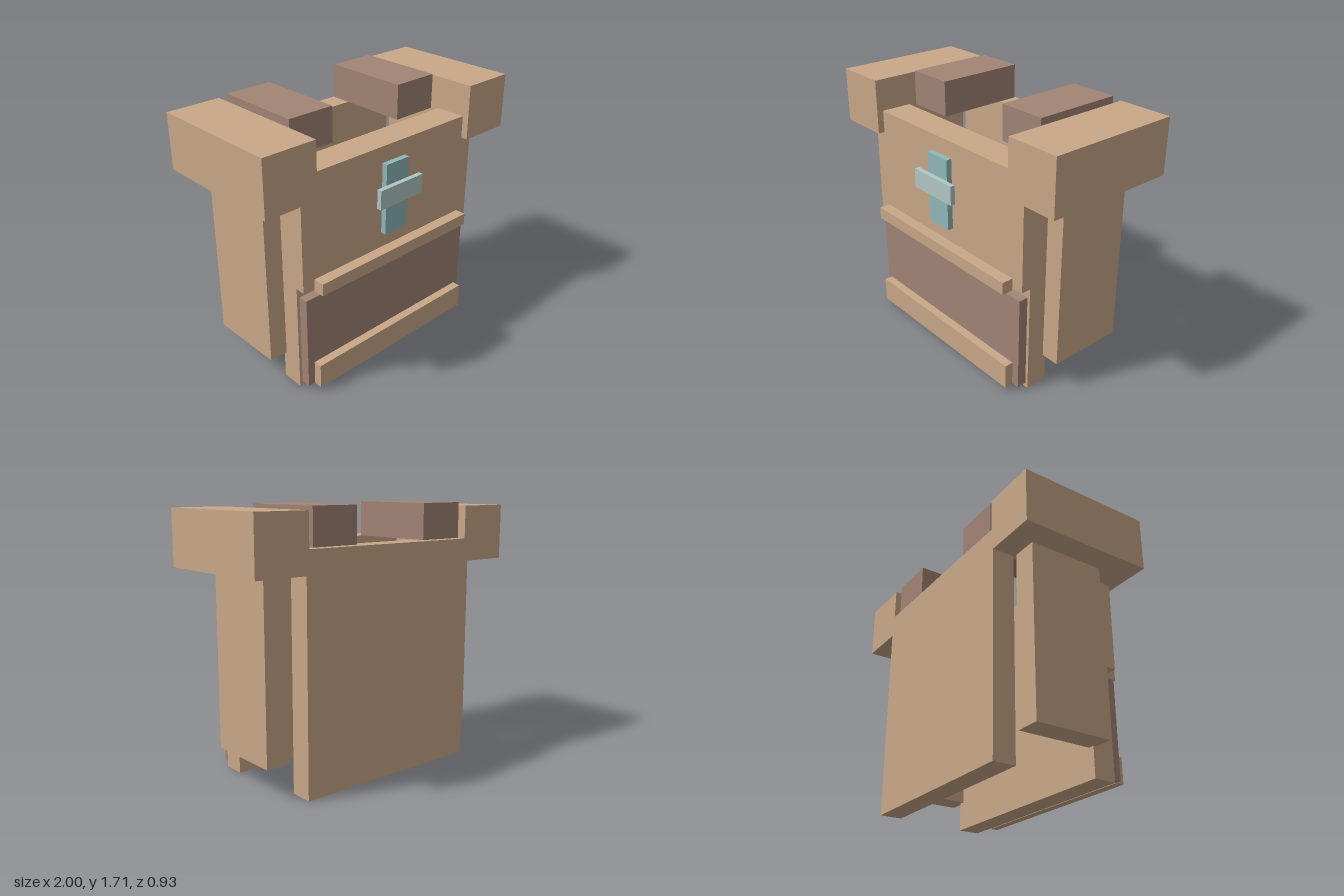
import * as THREE from 'three';

export function createModel() {
  const model = new THREE.Group();
  model.name = 'armorVest';

  const mat = (name, color) => {
    const m = new THREE.MeshStandardMaterial({ color });
    m.name = name;
    return m;
  };
  const tan = mat('tan', 0xc9a889);
  const brown = mat('brown', 0xa28475);
  const teal = mat('teal', 0x8fb8b8);
  const paleTeal = mat('paleTeal', 0xb1c8c4);

  // Box given by its lower and upper limits on each axis
  const box = (name, material, [x0, x1], [y0, y1], [z0, z1]) => {
    const mesh = new THREE.Mesh(new THREE.BoxGeometry(x1 - x0, y1 - y0, z1 - z0), material);
    mesh.position.set((x0 + x1) / 2, (y0 + y1) / 2, (z0 + z1) / 2);
    mesh.name = name;
    model.add(mesh);
  };
  // The same box on both sides
  const pair = (name, material, [x0, x1], y, z) => {
    box(name + 'Left', material, [x0, x1], y, z);
    box(name + 'Right', material, [-x1, -x0], y, z);
  };

  // Main panels
  box('frontPanel', tan, [-0.725, 0.725], [0, 1.47], [0.175, 0.32]);
  box('backPanel', tan, [-0.66, 0.66], [0, 1.47], [-0.467, -0.32]);
  pair('sidePanel', tan, [0.685, 0.847], [0.193, 1.32], [-0.317, 0.195]);

  // Shoulders and straps
  pair('shoulderGuard', tan, [0.64, 1], [1.322, 1.682], [-0.467, 0.427]);
  pair('shoulderStrap', brown, [0.275, 0.597], [1.475, 1.705], [-0.445, 0.147]);

  // Front layers
  box('chestPlate', tan, [-0.725, 0.725], [0.727, 1.47], [0.32, 0.383]);
  box('pouch', brown, [-0.705, 0.705], [0.027, 0.66], [0.32, 0.383]);
  box('upperLedge', tan, [-0.64, 0.64], [0.706, 0.787], [0.383, 0.458]);
  box('lowerStrip', tan, [-0.66, 0.66], [0.027, 0.193], [0.39, 0.446]);

  // Cross-shaped emblem
  box('crossUpright', teal, [-0.097, 0.092], [0.897, 1.367], [0.39, 0.427]);
  box('crossBar', paleTeal, [-0.182, 0.178], [1.11, 1.237], [0.435, 0.467]);

  return model;
}
